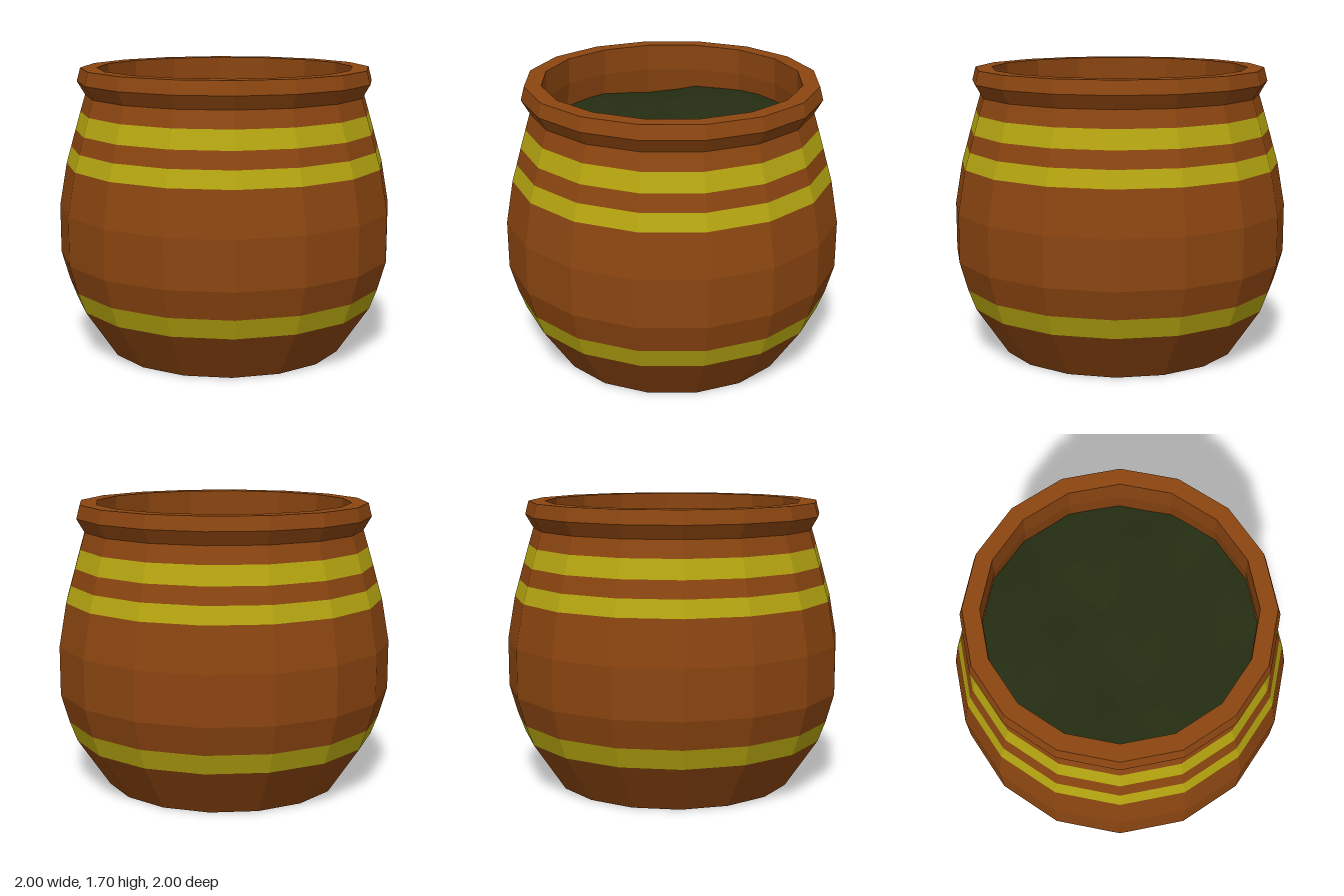
import * as THREE from 'three';

const SIDES = 16;
const TURN = -0.08; // slight twist of the whole pot about its axis

const clay = new THREE.MeshStandardMaterial({ color: 0x8b4510, flatShading: true });
const paint = new THREE.MeshStandardMaterial({ color: 0xb5a510, flatShading: true });
const brew = new THREE.MeshStandardMaterial({ color: 0x242d12, flatShading: true });

function facetedMesh(name, geometry, material) {
  const flat = geometry.toNonIndexed();
  flat.computeVertexNormals();
  const mesh = new THREE.Mesh(flat, material);
  mesh.name = name;
  return mesh;
}

// Ring of flat facets turned from a [radius, height] profile
function turned(name, profile, material) {
  const points = profile.map(([r, y]) => new THREE.Vector2(r, y));
  return facetedMesh(name, new THREE.LatheGeometry(points, SIDES, TURN), material);
}

// Slightly uneven liquid: a square grid drawn in to a disc
function liquidGeometry() {
  const radius = 0.8, level = 1.39;
  const geometry = new THREE.PlaneGeometry(1.6, 1.6, 10, 10).rotateX(-Math.PI / 2).rotateY(TURN);
  const pos = geometry.attributes.position;
  for (let i = 0; i < pos.count; i++) {
    let x = pos.getX(i), z = pos.getZ(i);
    const r = Math.hypot(x, z);
    if (r > 0) {
      // Outermost grid squares land on the wall
      const c = Math.cos(TURN), s = Math.sin(TURN);
      const reach = Math.max(Math.abs(x * c - z * s), Math.abs(x * s + z * c));
      const k = THREE.MathUtils.lerp(1, reach / r, Math.pow(reach / radius, 3));
      x *= k;
      z *= k;
    }
    const ripple = 0.012 * Math.sin(9 * x + 4 * z) + 0.01 * Math.sin(11 * z - 6 * x + 1);
    const swell = 0.055 * Math.exp(-((x + 0.55) ** 2 + (z + 0.55) ** 2) / 0.12);
    pos.setXYZ(i, x, level + ripple + swell, z);
  }
  return geometry;
}

export function createModel() {
  const pot = new THREE.Group();
  pot.name = 'pot';

  // Clay wall between the painted bands
  pot.add(turned('lowerWall', [[0.715, 0], [0.91, 0.29]], clay));
  pot.add(turned('bellyWall', [[0.955, 0.41], [1.003, 0.58], [1.003, 0.87], [0.957, 1.13]], clay));
  pot.add(turned('shoulderWall', [[0.928, 1.23], [0.9, 1.33]], clay));

  // Neck, flared rim and inner wall
  pot.add(turned('neckAndRim', [
    [0.868, 1.44], [0.838, 1.54], [0.885, 1.62], [0.864, 1.7],
    [0.765, 1.7], [0.768, 1.54], [0.79, 1.4], [0.84, 1.2],
  ], clay));

  // Painted bands, flush with the wall
  pot.add(turned('lowerBand', [[0.91, 0.29], [0.955, 0.41]], paint));
  pot.add(turned('middleBand', [[0.957, 1.13], [0.928, 1.23]], paint));
  pot.add(turned('upperBand', [[0.9, 1.33], [0.868, 1.44]], paint));

  // Flat underside
  const base = new THREE.CircleGeometry(0.715, SIDES, Math.PI / 2 - TURN).rotateX(Math.PI / 2);
  pot.add(facetedMesh('base', base, clay));

  pot.add(facetedMesh('liquid', liquidGeometry(), brew));
  return pot;
}
